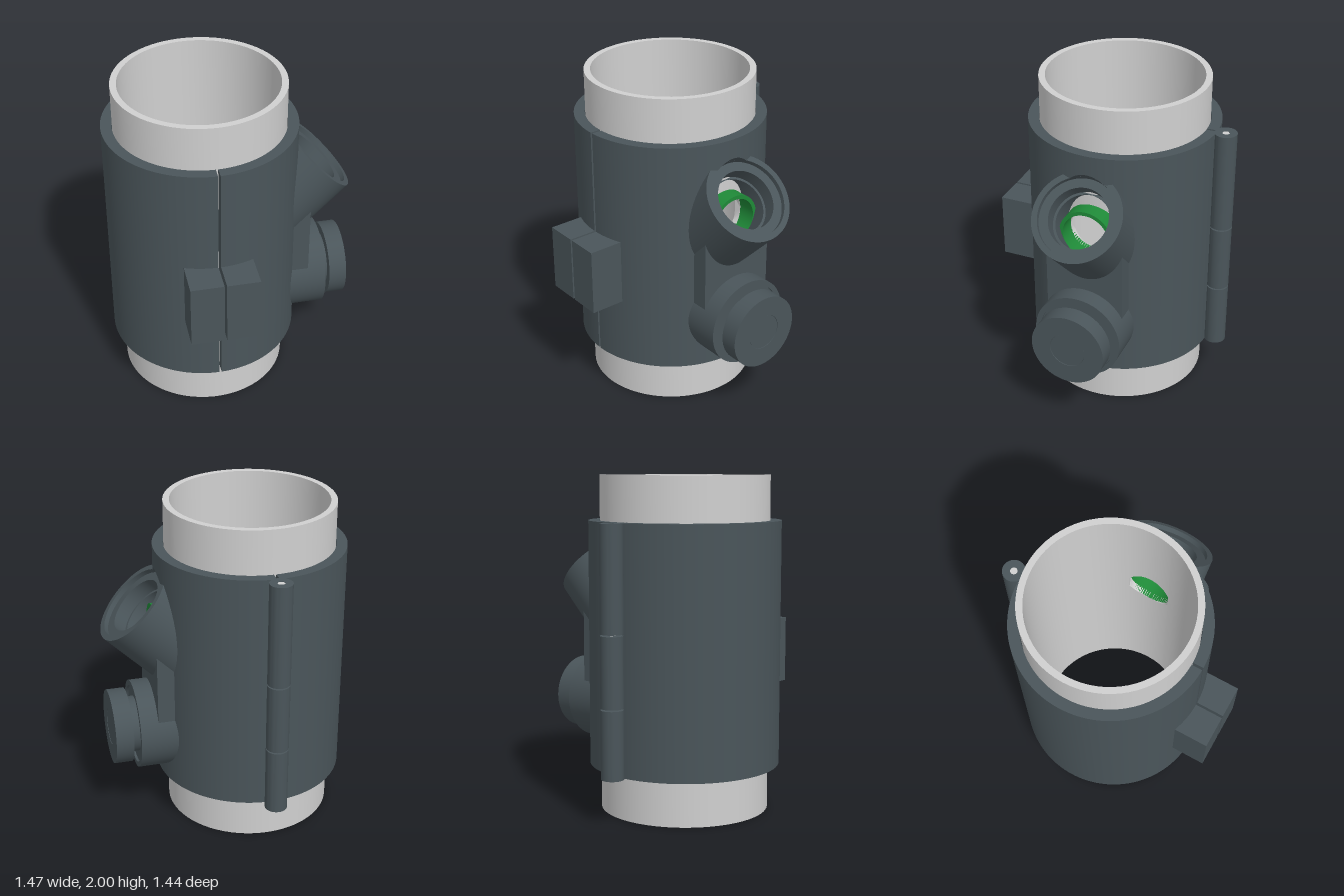
import * as THREE from 'three';
import { mergeGeometries, toCreasedNormals } from 'three/addons/utils/BufferGeometryUtils.js';

const CX = -0.167, CZ = -0.03; // main pipe axis
const BX = 0.544, BY = 1.421; // centre of the slanted branch mouth

const material = (name, color, side = THREE.FrontSide) => {
  const m = new THREE.MeshStandardMaterial({ color, side });
  m.name = name;
  return m;
};

// Curved wall between two radii; bottom and top are heights as rules of (x, dz)
function wall(rIn, rOut, a0, a1, segs, bottom, top) {
  const section = (i) => {
    const a = a0 + ((a1 - a0) * i) / segs;
    const corner = (r, rule) => {
      const x = CX + r * Math.cos(a), dz = r * Math.sin(a);
      return [x, rule(x, dz), CZ + dz];
    };
    return [corner(rIn, bottom), corner(rOut, bottom), corner(rOut, top), corner(rIn, top)];
  };
  const pos = [];
  const quad = (a, b, c, d) => pos.push(...a, ...b, ...c, ...a, ...c, ...d);
  for (let i = 0; i < segs; i++) {
    const s = section(i), n = section(i + 1);
    for (let k = 0; k < 4; k++) {
      const j = (k + 1) % 4;
      quad(s[k], s[j], n[j], n[k]);
    }
  }
  const first = section(0), last = section(segs);
  quad(first[3], first[2], first[1], first[0]);
  quad(last[0], last[1], last[2], last[3]);
  const g = new THREE.BufferGeometry();
  g.setAttribute('position', new THREE.Float32BufferAttribute(pos, 3));
  return g;
}

// Curved wall from a0 to a1 with a round opening around angle 0
function wallWithHole(rIn, rOut, a0, a1, y0, y1, holeR, centreY, stretch) {
  const w = Math.asin(holeR / rOut);
  const half = (dz) => stretch * Math.sqrt(Math.max(0, holeR * holeR - dz * dz));
  const lo = () => y0, hi = () => y1;
  return toCreasedNormals(mergeGeometries([
    wall(rIn, rOut, a0, -w, 32, lo, hi),
    wall(rIn, rOut, w, a1, 32, lo, hi),
    wall(rIn, rOut, -w, w, 32, lo, (x, dz) => centreY(x) - half(dz)),
    wall(rIn, rOut, -w, w, 32, (x, dz) => centreY(x) + half(dz), hi),
  ]), 0.6);
}

const lathe = (points, segs = 64) =>
  new THREE.LatheGeometry(points.map(([r, y]) => new THREE.Vector2(r, y)), segs);

export function createModel() {
  const model = new THREE.Group();
  model.name = 'pipeSaddleClamp';
  const dark = material('darkPlastic', 0x4a555a);
  const pale = material('palePipe', 0xd0d0d0);
  const green = material('greenSeal', 0x1f8a38);

  const add = (name, geometry, mat, x = 0, y = 0, z = 0) => {
    const mesh = new THREE.Mesh(geometry, mat);
    mesh.name = name;
    mesh.position.set(x, y, z);
    model.add(mesh);
    return mesh;
  };
  // Turned part lying along x
  const addTurned = (name, points, mat, y) =>
    add(name, toCreasedNormals(lathe(points).rotateZ(-Math.PI / 2), 0.6), mat, 0, y, CZ);

  // Pipe with its tapped hole
  add('pipe', wallWithHole(0.467, 0.505, -Math.PI, Math.PI, 0, 2, 0.142, () => 1.22, 1), pale);

  // Two clamp halves, parted front and back
  const gap = 0.013, q = Math.PI / 2;
  add('clampHalfLeft', wallWithHole(0.508, 0.573, -q + gap, q - gap, 0.275, 1.735,
    0.235, (x) => x + BY - BX, Math.SQRT2), dark);
  add('clampHalfRight', toCreasedNormals(
    wall(0.508, 0.573, q + gap, 3 * q - gap, 64, () => 0.275, () => 1.735), 0.6), dark);

  // Closing lugs at the front
  for (const s of [-1, 1])
    add(s > 0 ? 'lugLeft' : 'lugRight', new THREE.BoxGeometry(0.196, 0.405, 0.235), dark,
      CX + s * 0.105, 0.8975, 0.5975);

  // Hinge knuckles and pin at the back
  for (const [y0, y1] of [[0.275, 0.68], [0.689, 1.105], [1.114, 1.735]]) {
    const ring = lathe([[0.022, y0], [0.067, y0], [0.067, y1], [0.022, y1], [0.022, y0]], 40);
    add('hingeKnuckle', toCreasedNormals(ring, 0.6), dark, CX, 0, -0.655);
  }
  add('hingePin', new THREE.CylinderGeometry(0.021, 0.021, 1.456, 24), pale, CX, 1.005, -0.655);

  // Slanted branch: stepped socket whose inner ends follow the pipe wall
  const profile = [[0.27, -0.5], [0.27, 0], [0.235, 0], [0.235, -0.03], [0.18, -0.03],
    [0.18, -0.12], [0.165, -0.12], [0.165, -0.5]];
  const branch = lathe(profile, 72);
  const p = branch.attributes.position;
  for (let i = 0; i < p.count; i++) {
    const j = i % profile.length;
    if (j !== 0 && j !== profile.length - 1) continue;
    const z = p.getZ(i);
    const t = (CX - BX + Math.sqrt(0.51 ** 2 - z * z)) * Math.SQRT2 - p.getX(i);
    p.setY(i, j ? Math.min(t, -0.122) : t);
  }
  branch.rotateZ(-Math.PI / 4);
  add('branchSocket', toCreasedNormals(branch, 0.6), dark, BX, BY, CZ);

  // Seal sleeve lining the tapped hole
  addTurned('sealSleeve', [[0.142, 0.3], [0.165, 0.3], [0.165, 0.43], [0.142, 0.43], [0.142, 0.3]], green, 1.22);

  // Web joining branch and boss, with side cheeks reaching higher
  const web = (name, z0, z1, rise) => {
    const s = new THREE.Shape([[0.345, 0.6], [0.455, 0.6], [0.455, 0.455 + rise], [0.345, 0.345 + rise]]
      .map(([x, y]) => new THREE.Vector2(x, y)));
    add(name, new THREE.ExtrudeGeometry(s, { depth: z1 - z0, bevelEnabled: false }), dark, 0, 0, CZ + z0);
  };
  web('web', -0.24, 0.24, 0.63);
  web('webCheekLeft', 0.18, 0.24, 0.74);
  web('webCheekRight', -0.24, -0.18, 0.74);

  // Lower boss with a recessed face, neck, cap and centre plug
  addTurned('boss', [[0.27, 0.335], [0.27, 0.565], [0.238, 0.565], [0.238, 0.55], [0.16, 0.55]], dark, 0.6);
  addTurned('capNeck', [[0.17, 0.54], [0.17, 0.61]], dark, 0.6);
  addTurned('cap', [[0.11, 0.602], [0.228, 0.602], [0.228, 0.71], [0.11, 0.71], [0.11, 0.602]], dark, 0.6);
  addTurned('capPlug', [[0.108, 0.6], [0.108, 0.708], [0, 0.708]], dark, 0.6);

  return model;
}
